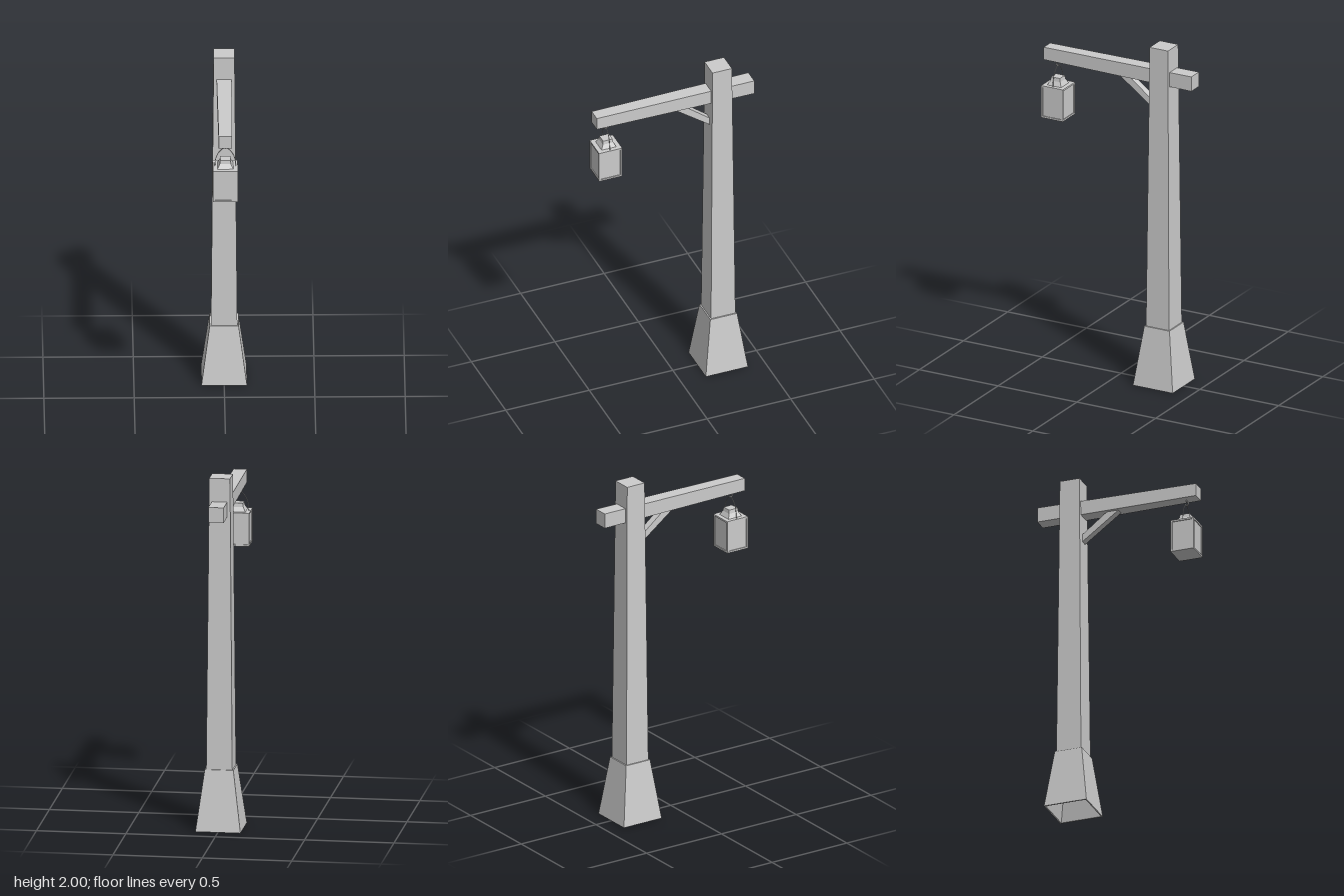
import * as THREE from 'three';

const material = new THREE.MeshStandardMaterial({ color: 0xcccccc, flatShading: true, side: THREE.DoubleSide });
const POST_Z = -0.272, LAMP_Z = 0.4;

function add(parent, name, geometry, x = 0, y = 0, z = 0) {
  const mesh = new THREE.Mesh(geometry, material);
  mesh.name = name;
  mesh.position.set(x, y, z);
  parent.add(mesh);
  return mesh;
}

// Square tapered block standing on y = 0, given half widths at bottom and top
function taper(bottom, top, height) {
  return new THREE.CylinderGeometry(top * Math.SQRT2, bottom * Math.SQRT2, height, 4)
    .rotateY(Math.PI / 4).translate(0, height / 2, 0);
}

// Square lathe: points are [half width, height]
function squareLathe(points) {
  const profile = points.map(([r, y]) => new THREE.Vector2(r * Math.SQRT2, y));
  return new THREE.LatheGeometry(profile, 4).rotateY(Math.PI / 4);
}

function createLantern() {
  const lantern = new THREE.Group();
  lantern.name = 'lantern';
  lantern.position.set(0, 1.455, LAMP_Z);
  const h = 0.19, half = 0.069, bar = 0.01;

  // Recessed panes inside a box frame
  add(lantern, 'panes', new THREE.BoxGeometry(half * 2 - 0.01, h - 0.004, half * 2 - 0.01), 0, h / 2, 0);
  for (const y of [bar / 2, h - bar / 2])
    add(lantern, 'framePlate', new THREE.BoxGeometry(half * 2, bar, half * 2), 0, y, 0);
  for (const sx of [-1, 1])
    for (const sz of [-1, 1])
      add(lantern, 'framePost', new THREE.BoxGeometry(bar, h - 2 * bar, bar),
        sx * (half - bar / 2), h / 2, sz * (half - bar / 2));

  // Vent cap
  add(lantern, 'cap', taper(0.044, 0.031, 0.025), 0, h, 0);
  add(lantern, 'capTop', taper(0.031, 0.028, 0.021), 0, h + 0.025, 0);

  // Wire handle arching from side to side
  const arc = new THREE.CatmullRomCurve3(
    [[-0.058, 0.188], [-0.054, 0.23], [-0.037, 0.272], [0, 0.302], [0.037, 0.272], [0.054, 0.23], [0.058, 0.188]]
      .map(([x, y]) => new THREE.Vector3(x, y, 0)));
  add(lantern, 'handle', new THREE.TubeGeometry(arc, 24, 0.0022, 6));
  return lantern;
}

export function createModel() {
  const model = new THREE.Group();
  model.name = 'lanternPost';

  // Hollow flared foot and tapered post
  add(model, 'foot', squareLathe([
    [0.118, 0], [0.126, 0], [0.08, 0.345], [0.07, 0.345], [0.118, 0],
  ]), 0, 0, POST_Z);
  add(model, 'post', taper(0.073, 0.058, 1.67), 0, 0.33, POST_Z);

  // Cross arm, slightly thinner at the lantern end
  add(model, 'arm', taper(0.043, 0.037, 0.94).rotateX(Math.PI / 2), 0, 1.825, -0.47);

  // Diagonal brace between post and arm
  const brace = new THREE.Shape([[0.01, 1.79], [-0.06, 1.79], [-0.225, 1.66], [-0.225, 1.617]]
    .map(([z, y]) => new THREE.Vector2(z, y)));
  add(model, 'brace', new THREE.ExtrudeGeometry(brace, { depth: 0.042, bevelEnabled: false })
    .translate(0, 0, -0.021).rotateY(-Math.PI / 2));

  // Open hook below the arm
  const hook = new THREE.CatmullRomCurve3(
    [[0, 1.79], [0, 1.777], [0.009, 1.77], [0.01, 1.76], [0, 1.753], [-0.009, 1.761]]
      .map(([z, y]) => new THREE.Vector3(0, y, LAMP_Z + z)));
  add(model, 'hook', new THREE.TubeGeometry(hook, 16, 0.0035, 6));

  model.add(createLantern());
  return model;
}
